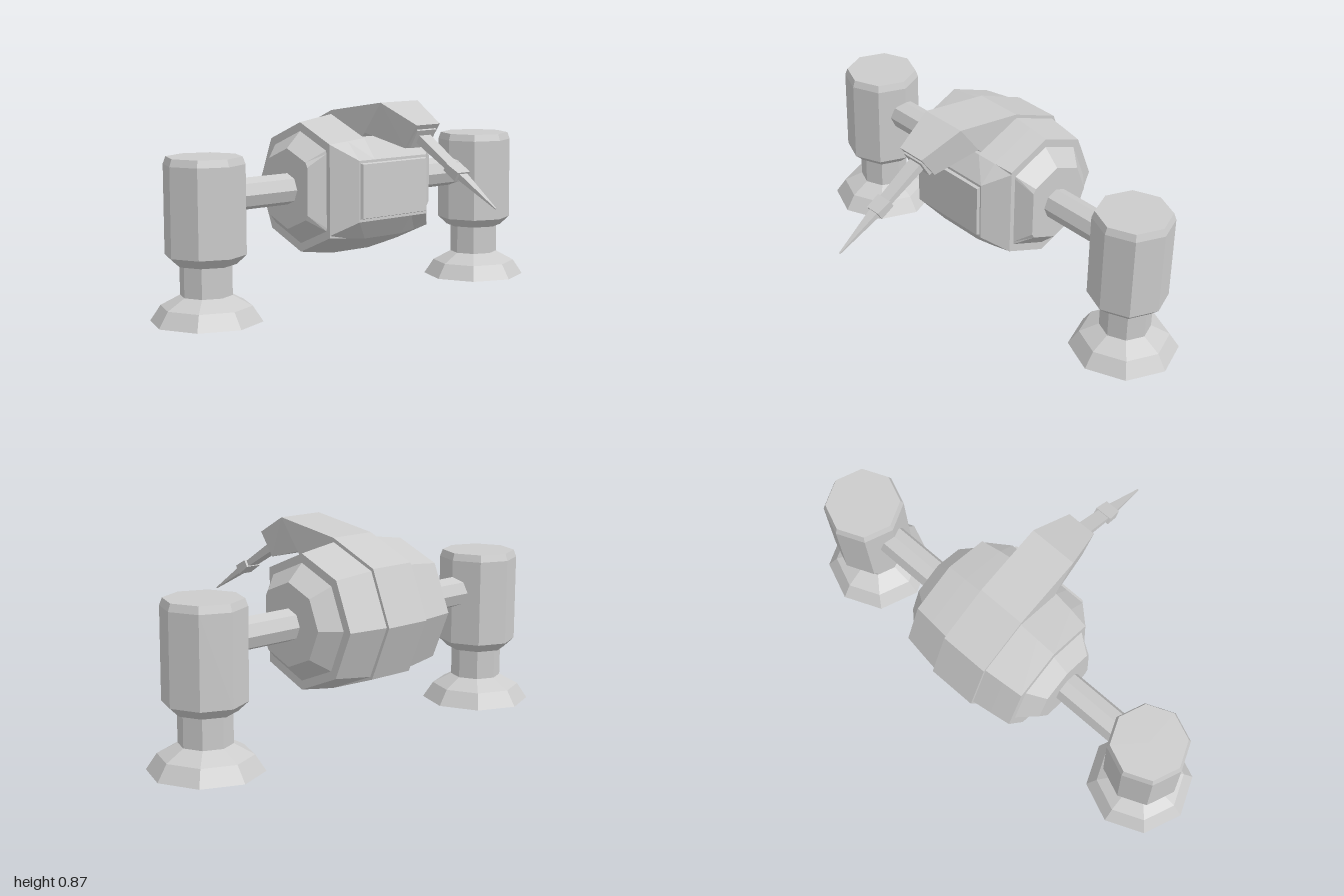
import * as THREE from 'three';

const grey = new THREE.MeshStandardMaterial({ color: 0xcccccc, flatShading: true });
const greyOpen = new THREE.MeshStandardMaterial({ color: 0xcccccc, flatShading: true, side: THREE.DoubleSide });
const CY = 0.5, CZ = -0.277; // hull axis

function add(parent, name, geometry, x = 0, y = 0, z = 0, material = grey) {
  const mesh = new THREE.Mesh(geometry, material);
  mesh.name = name;
  mesh.position.set(x, y, z);
  parent.add(mesh);
  return mesh;
}

// Octagonal hull section with its front vertex flattened into a face at z = front
function hullSection([x, r, front, halfHeight]) {
  const d = r * Math.SQRT1_2;
  const pts = [[0, r], [d, d], [front - CZ, halfHeight], [front - CZ, -halfHeight],
    [d, -d], [0, -r], [-d, -d], [-r, 0], [-d, d]];
  return pts.map(([z, y]) => [x, CY + y, CZ + Math.min(z, front - CZ)]);
}

function hullGeometry() {
  const half = [
    [0.105, 0.3, 0, 0.128], [0.19, 0.288, 0, 0.128], [0.277, 0.275, -0.086, 0.185],
    [0.277, 0.238, -0.107, 0.155], [0.348, 0.17, -0.145, 0.1],
  ];
  const mirrored = half.map(([x, ...rest]) => [-x, ...rest]).reverse();
  const rings = [...mirrored, ...half].map(hullSection);
  const pos = [];
  const tri = (...corners) => corners.forEach((p) => pos.push(...p));
  const n = rings[0].length, last = rings.length - 1;
  for (let j = 0; j < n; j++) {
    const k = (j + 1) % n;
    for (let i = 0; i < last; i++) {
      const a = rings[i][j], b = rings[i + 1][j], c = rings[i + 1][k], d = rings[i][k];
      tri(a, d, c);
      tri(a, c, b);
    }
    tri([0.348, CY, CZ], rings[last][j], rings[last][k]);
    tri([-0.348, CY, CZ], rings[0][k], rings[0][j]);
  }
  const g = new THREE.BufferGeometry();
  g.setAttribute('position', new THREE.Float32BufferAttribute(pos, 3));
  g.computeVertexNormals();
  return g;
}

// Raised band over the back of the hull, running forward into the gun housing
function spineGeometry() {
  const profile = [
    [0.21, 0.78], [0.035, 0.865], [-0.275, 0.817], [-0.499, 0.722], [-0.59, 0.5],
    [-0.499, 0.278], [-0.277, 0.2], [-0.277, 0.5], [-0.1, 0.69], [-0.063, 0.735], [0.14, 0.682],
  ];
  const shape = new THREE.Shape(profile.map(([z, y]) => new THREE.Vector2(-z, y)));
  const g = new THREE.ExtrudeGeometry(shape, { depth: 0.21, bevelEnabled: false });
  g.translate(0, 0, -0.105).rotateY(Math.PI / 2);
  // narrow the housing towards its snout
  const p = g.attributes.position;
  for (let i = 0; i < p.count; i++) {
    if (p.getZ(i) > 0.05) p.setX(i, p.getX(i) * 0.62);
  }
  g.computeVertexNormals();
  return g;
}

// Square tapering bar along +z, from z0 to z1, with half widths and half heights
function bar(z0, z1, w0, h0, w1, h1) {
  const mid = (z0 + z1) / 2;
  const g = new THREE.BoxGeometry(2, 2, z1 - z0).translate(0, 0, mid);
  const p = g.attributes.position;
  for (let i = 0; i < p.count; i++) {
    const near = p.getZ(i) < mid;
    p.setXY(i, p.getX(i) * (near ? w0 : w1), p.getY(i) * (near ? h0 : h1));
  }
  g.computeVertexNormals();
  return g;
}

const lathe8 = (pts) => new THREE.LatheGeometry(pts.map(([r, y]) => new THREE.Vector2(r, y)), 8);

function makeLeg(side) {
  const leg = new THREE.Group();
  leg.name = side > 0 ? 'leftLeg' : 'rightLeg';
  leg.position.set(side * 0.77, 0, CZ);
  add(leg, 'pod', lathe8([[0, 0.235], [0.125, 0.235], [0.166, 0.273], [0.166, 0.638], [0.155, 0.668], [0, 0.668]]));
  // open ankle tube above a hollow flared foot
  add(leg, 'ankle', lathe8([[0.107, 0.108], [0.107, 0.24]]), 0, 0, 0, greyOpen);
  add(leg, 'foot', lathe8([[0.23, 0], [0.187, 0.065], [0.107, 0.108]]), 0, 0, 0, greyOpen);
  // axle into the hull
  const axle = new THREE.CylinderGeometry(0.066, 0.066, 0.33, 8).rotateZ(Math.PI / 2);
  add(leg, 'axle', axle, -side * 0.305, CY, 0);
  return leg;
}

export function createModel() {
  const model = new THREE.Group();
  model.name = 'walker';
  add(model, 'hull', hullGeometry());
  add(model, 'spineAndGunHousing', spineGeometry());
  // window panel with a slight bevel
  add(model, 'frontWindow', bar(-0.01, 0.013, 0.187, 0.12, 0.18, 0.113), 0, CY, 0);

  // gun, pointing forward and down
  const gun = new THREE.Group();
  gun.name = 'gun';
  gun.position.set(0, 0.722, 0.177);
  gun.rotation.x = 0.542;
  add(gun, 'muzzlePlate', bar(-0.03, 0.004, 0.056, 0.046, 0.053, 0.043));
  add(gun, 'barrel', bar(0, 0.21, 0.031, 0.018, 0.027, 0.012));
  add(gun, 'collar', bar(0.196, 0.266, 0.038, 0.016, 0.034, 0.02));
  add(gun, 'needle', bar(0.26, 0.482, 0.022, 0.013, 0.003, 0.002));
  model.add(gun);

  for (const side of [1, -1]) model.add(makeLeg(side));
  return model;
}
